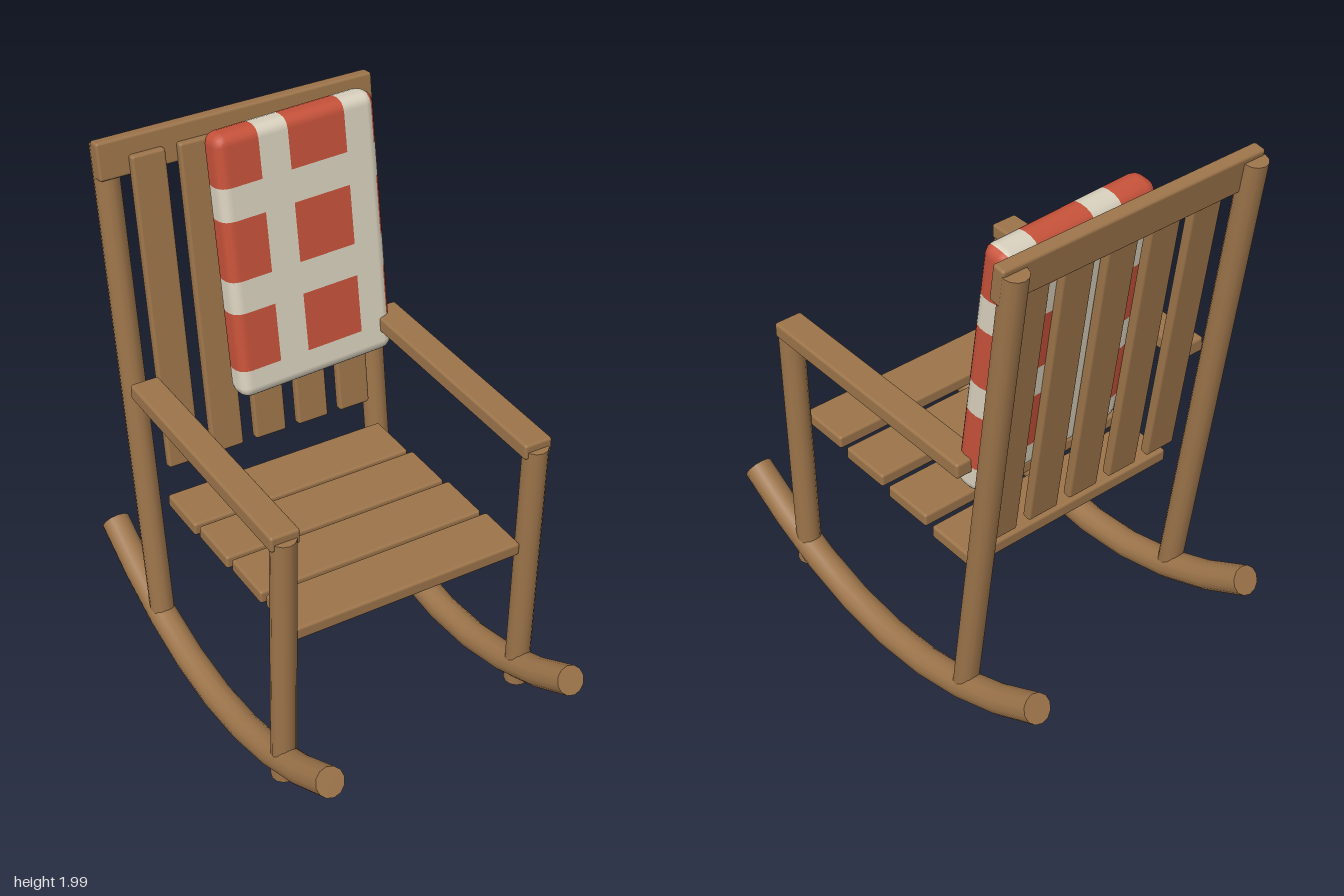
import * as THREE from 'three';
import { RoundedBoxGeometry } from 'three/addons/geometries/RoundedBoxGeometry.js';

const LEAN = 0.135; // backward lean of the backrest

export function createModel() {
  const wood = new THREE.MeshStandardMaterial({ name: 'wood', color: 0x9c744a });
  const cream = new THREE.MeshStandardMaterial({ name: 'creamCloth', color: 0xd9d1be });
  const red = new THREE.MeshStandardMaterial({ name: 'redCloth', color: 0xc6523a });
  const chair = new THREE.Group();
  chair.name = 'rockingChair';

  const add = (name, geometry, material = wood) => {
    const mesh = new THREE.Mesh(geometry, material);
    mesh.name = name;
    chair.add(mesh);
    return mesh;
  };
  const board = (name, size, position, lean = 0) => {
    const mesh = add(name, new RoundedBoxGeometry(...size, 2, 0.01));
    mesh.position.set(...position);
    mesh.rotation.x = -lean;
    return mesh;
  };
  // Round pole between two points
  const pole = (name, from, to, radius) => {
    const a = new THREE.Vector3(...from), b = new THREE.Vector3(...to);
    const mesh = add(name, new THREE.CylinderGeometry(radius, radius, a.distanceTo(b), 12));
    mesh.position.copy(a).lerp(b, 0.5);
    mesh.quaternion.setFromUnitVectors(new THREE.Vector3(0, 1, 0), b.sub(a).normalize());
  };

  for (const [side, s] of [['left', 1], ['right', -1]]) {
    const x = 0.48 * s;
    // Curved rocker with closed ends
    const points = [];
    for (let i = -4; i <= 4; i++) {
      const z = i * 0.2;
      points.push(new THREE.Vector3(x, 0.061 + 0.4 * z * z, z));
    }
    const curve = new THREE.CatmullRomCurve3(points);
    add(side + 'Rocker', new THREE.TubeGeometry(curve, 8, 0.054, 12));
    for (const end of [0, 1]) {
      const cap = add(side + 'RockerEnd', new THREE.CircleGeometry(0.054, 12));
      const p = curve.getPointAt(end);
      cap.position.copy(p);
      cap.lookAt(p.clone().addScaledVector(curve.getTangentAt(end), end ? 1 : -1));
    }
    // Legs, back posts and armrests
    pole(side + 'FrontLeg', [x, 0.09, 0.487], [x, 1.13, 0.511], 0.045);
    pole(side + 'BackPost', [x, 0.12, -0.422], [x, 1.975, -0.672], 0.045);
    board(side + 'Armrest', [0.108, 0.058, 0.99], [x, 1.13, 0.033]);
  }

  // Seat slats, stepping down toward the back
  for (let i = 0; i < 4; i++) {
    board('seatSlat', [0.88, 0.05, 0.206], [0, 0.715 - i * 0.0185, 0.412 - i * 0.239]);
  }

  // Backrest slats and top rail
  for (let i = -2; i <= 2; i++) {
    board('backSlat', [0.125, 1.18, 0.036], [i * 0.176, 1.355, -0.529], LEAN);
  }
  board('topRail', [1.05, 0.135, 0.05], [0, 1.932, -0.64], LEAN);

  // Checked cushion leaning on the back
  const cushion = add('cushion', cushionGeometry(), [cream, red]);
  cushion.position.set(0.157, 1.5, -0.479);
  cushion.rotation.order = 'YXZ';
  cushion.rotation.set(-0.137, 0.045, 0.005);

  return chair;
}

// Rounded box whose grid lines follow the checks, so every face has one colour
function cushionGeometry() {
  const half = [0.318, 0.491, 0.055], r = 0.042;
  const redSpans = [
    [[-1, -0.157], [-0.042, 0.183], [0.298, 1]],
    [[-0.38, -0.159], [-0.038, 0.184], [0.305, 1]],
  ];
  const stops = half.map((h, axis) => {
    const edge = [h, h - r * 0.42, h - r];
    const inner = axis < 2 ? redSpans[axis].flat().filter((v) => Math.abs(v) < h) : [];
    return [...new Set([...edge, ...edge.map((v) => -v), ...inner])].sort((a, b) => a - b);
  });
  const geometry = new THREE.BoxGeometry(1, 1, 1, ...stops.map((s) => s.length - 1));
  const pos = geometry.attributes.position, normal = geometry.attributes.normal;
  const grid = [];
  for (let i = 0; i < pos.count; i++) {
    const p = [pos.getX(i), pos.getY(i), pos.getZ(i)]
      .map((v, a) => stops[a][Math.round((v + 0.5) * (stops[a].length - 1))]);
    grid.push(p);
    // Pull the point onto a sphere around the inner box
    const core = new THREE.Vector3(...p.map((v, a) => THREE.MathUtils.clamp(v, r - half[a], half[a] - r)));
    const n = new THREE.Vector3(...p).sub(core).normalize();
    core.addScaledVector(n, r);
    pos.setXYZ(i, core.x, core.y, core.z);
    normal.setXYZ(i, n.x, n.y, n.z);
  }
  // Sort the triangles into cream and red
  const faces = [[], []];
  const index = geometry.index.array;
  for (let i = 0; i < index.length; i += 3) {
    const tri = [index[i], index[i + 1], index[i + 2]];
    const isRed = [0, 1].every((axis) => {
      const c = tri.reduce((sum, v) => sum + grid[v][axis] / 3, 0);
      return redSpans[axis].some(([lo, hi]) => c > lo && c < hi);
    });
    faces[isRed ? 1 : 0].push(...tri);
  }
  geometry.setIndex([...faces[0], ...faces[1]]);
  geometry.clearGroups();
  geometry.addGroup(0, faces[0].length, 0);
  geometry.addGroup(faces[0].length, faces[1].length, 1);
  return geometry;
}
